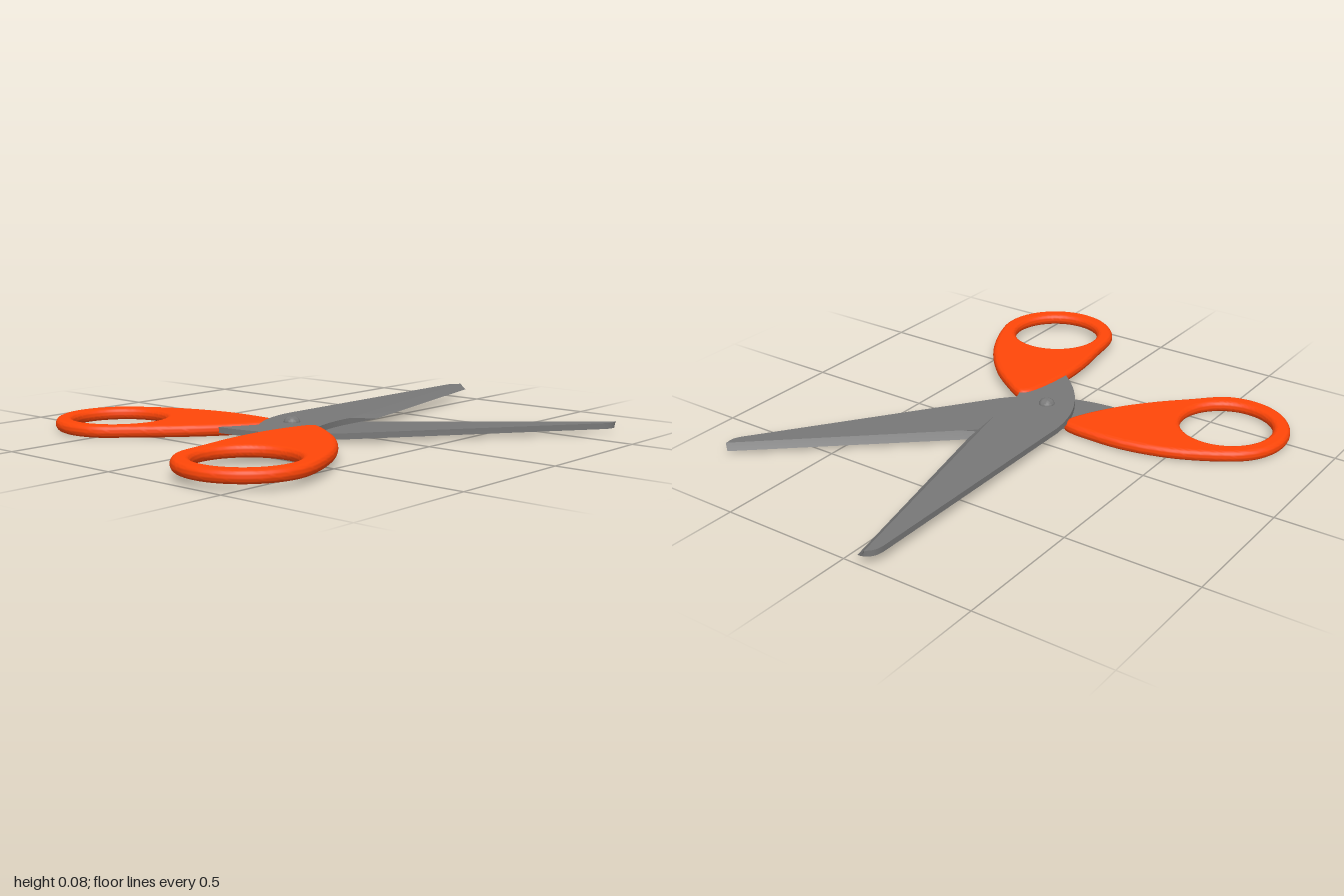
import * as THREE from 'three';
import { toCreasedNormals } from 'three/addons/utils/BufferGeometryUtils.js';

const PIVOT = { x: 0.03, z: 0.184 };
const HALF_OFFSET = 0.022; // height step between the two halves
const BLADE_BASE = 0.0135, BLADE_THICK = 0.0215;

const steel = new THREE.MeshStandardMaterial({ color: 0x787878 });
const plastic = new THREE.MeshStandardMaterial({ color: 0xff4608 });

// Ground-plan point (x, z) relative to the pivot; side -1 mirrors it
const planPoint = (x, z, side) => new THREE.Vector2(side * (x - PIVOT.x), PIVOT.z - z);

// Blade with tang: flat plate whose cutting edge is ground down from the top
function createBlade(side) {
  const p = (x, z) => planPoint(x, z, side);
  const shape = new THREE.Shape();
  const moveTo = (v) => shape.moveTo(v.x, v.y);
  const lineTo = (v) => shape.lineTo(v.x, v.y);
  const curveTo = (a, b, c) => shape.bezierCurveTo(a.x, a.y, b.x, b.y, c.x, c.y);
  moveTo(p(-0.06, -1.0));
  curveTo(p(-0.095, -1.0), p(-0.115, -0.975), p(-0.115, -0.935)); // rounded tip
  lineTo(p(-0.115, 0.04));                                        // spine
  curveTo(p(-0.105, 0.215), p(0.0, 0.35), p(0.11, 0.437));        // rounded heel
  lineTo(p(0.24, 0.437));                                         // tang inside the handle
  lineTo(p(0.18, 0.23));
  curveTo(p(0.15, 0.16), p(0.13, 0.08), p(0.13, -0.02));
  lineTo(p(0.13, -0.17));                                         // foot of the cutting edge

  const geo = new THREE.ExtrudeGeometry(shape, { depth: BLADE_THICK, bevelEnabled: false, curveSegments: 12 });
  const pos = geo.attributes.position;
  for (let i = 0; i < pos.count; i++) {
    const z = PIVOT.z - pos.getY(i);
    if (pos.getZ(i) < BLADE_THICK / 2 || z > -0.02) continue;
    // Pull top corners back to the line where the grind begins
    const limit = 0.13 - 0.22 * (-0.02 - z) - PIVOT.x;
    pos.setX(i, side * Math.min(side * pos.getX(i), limit));
  }
  geo.rotateX(-Math.PI / 2);
  geo.translate(0, BLADE_BASE, 0);
  const mesh = new THREE.Mesh(toCreasedNormals(geo, 0.35), steel);
  mesh.name = 'blade';
  return mesh;
}

// Teardrop handle with a round finger hole and fully rounded edges
function createHandle(side) {
  const ring = { x: 0.372, z: 0.764, outer: 0.234, hole: 0.17 };
  const outline = [
    [0.168, 0.203], [0.143, 0.222], [0.122, 0.29], [0.106, 0.43], [0.112, 0.58], [0.135, 0.73],
  ];
  for (let i = 0; i <= 8; i++) {
    const a = THREE.MathUtils.degToRad(155 - i * 20);
    outline.push([ring.x + ring.outer * Math.cos(a), ring.z + ring.outer * Math.sin(a)]);
  }
  outline.push([0.578, 0.645], [0.497, 0.485], [0.377, 0.342], [0.25, 0.245], [0.195, 0.212]);
  if (side < 0) outline.reverse(); // keeps the winding equal on both sides

  const curve = new THREE.CatmullRomCurve3(outline.map(([x, z]) => {
    const v = planPoint(x, z, side);
    return new THREE.Vector3(v.x, v.y, 0);
  }), true, 'centripetal');
  const points = curve.getSpacedPoints(140).slice(0, -1);
  const shape = new THREE.Shape(points.map((v) => new THREE.Vector2(v.x, v.y)));
  const c = planPoint(ring.x, ring.z, side);
  shape.holes.push(new THREE.Path().absarc(c.x, c.y, ring.hole, 0, Math.PI * 2, true));

  let geo = new THREE.ExtrudeGeometry(shape, {
    depth: 0.001, curveSegments: 64,
    bevelThickness: 0.022, bevelSize: 0.02, bevelOffset: -0.02, bevelSegments: 6,
  });
  geo.rotateX(-Math.PI / 2);
  geo.translate(0, 0.022, 0);
  geo = toCreasedNormals(geo, 0.6);
  // Flat faces point straight up and down, and the rounding runs out of them
  const { position, normal } = geo.attributes;
  for (let i = 0; i < position.count; i++) {
    const y = position.getY(i);
    if (y > 0.0449) normal.setXYZ(i, 0, 1, 0);
    else if (y < 0.0001) normal.setXYZ(i, 0, -1, 0);
  }
  const mesh = new THREE.Mesh(geo, plastic);
  mesh.name = 'handle';
  return mesh;
}

function createHalf(name, side) {
  const half = new THREE.Group();
  half.name = name;
  half.add(createBlade(side), createHandle(side));
  half.position.set(PIVOT.x, 0, PIVOT.z);
  return half;
}

// Domed pivot screw with a shaft through both blades
function createScrew() {
  const profile = [new THREE.Vector2(0, 0.02), new THREE.Vector2(0.015, 0.02), new THREE.Vector2(0.015, 0.055)];
  for (let i = 0; i <= 8; i++) {
    const a = (i / 8) * Math.PI / 2;
    profile.push(new THREE.Vector2(i === 8 ? 0 : 0.03 * Math.cos(a), 0.055 + 0.024 * Math.sin(a)));
  }
  const mesh = new THREE.Mesh(toCreasedNormals(new THREE.LatheGeometry(profile, 32), 0.6), steel);
  mesh.name = 'pivotScrew';
  mesh.position.set(PIVOT.x, 0, PIVOT.z);
  return mesh;
}

export function createModel() {
  const model = new THREE.Group();
  model.name = 'scissors';
  const upper = createHalf('upperHalf', 1);
  upper.position.y = HALF_OFFSET;
  const lower = createHalf('lowerHalf', -1);
  lower.rotation.y = THREE.MathUtils.degToRad(-36.2); // opened about the screw
  model.add(upper, lower, createScrew());
  return model;
}
